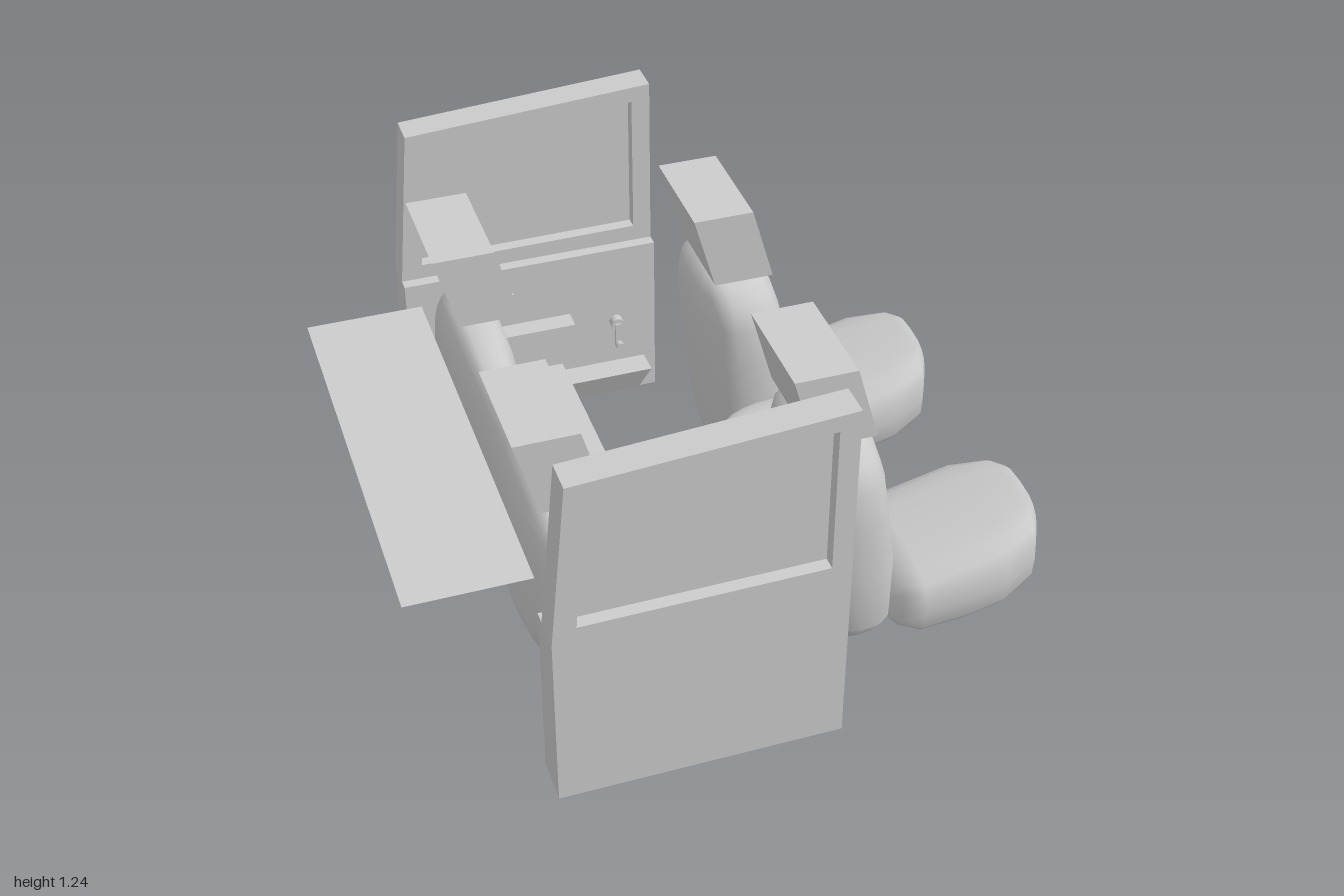
import * as THREE from 'three';

const material = new THREE.MeshStandardMaterial({ color: 0xcccccc, side: THREE.DoubleSide });

function add(parent, name, geometry, x = 0, y = 0, z = 0) {
  const mesh = new THREE.Mesh(geometry, material);
  mesh.name = name;
  mesh.position.set(x, y, z);
  parent.add(mesh);
  return mesh;
}

function shapeOf(points) {
  return new THREE.Shape(points.map(([x, y]) => new THREE.Vector2(x, y)));
}

// Outline in x and y, extruded between two z values
function slab(points, zA, zB, hole) {
  const shape = shapeOf(points);
  if (hole) shape.holes.push(new THREE.Path(shapeOf(hole).getPoints()));
  const g = new THREE.ExtrudeGeometry(shape, { depth: Math.abs(zB - zA), bevelEnabled: false });
  return g.translate(0, 0, Math.min(zA, zB));
}

// Superellipse sections [w, u0, u1, v0, v1] joined along an axis;
// lowPower shapes the u width of the lower half of each section
function loft(axis, sections, power = 0.65, lowPower = power, n = 20) {
  const order = { x: [2, 0, 1], y: [1, 2, 0], z: [0, 1, 2] }[axis];
  const positions = [], index = [];
  const put = (u, v, w) => {
    const uvw = [u, v, w];
    positions.push(uvw[order[0]], uvw[order[1]], uvw[order[2]]);
  };
  const bend = (t, p) => Math.sign(t) * Math.pow(Math.abs(t), p);
  for (const [w, u0, u1, v0, v1] of sections) {
    for (let i = 0; i < n; i++) {
      const a = (i / n) * Math.PI * 2, c = Math.cos(a), s = Math.sin(a);
      put((u0 + u1) / 2 + (u1 - u0) / 2 * bend(c, s < -1e-6 ? lowPower : power),
        (v0 + v1) / 2 + (v1 - v0) / 2 * bend(s, power), w);
    }
  }
  const last = sections.length - 1, start = sections.length * n;
  for (const k of [0, last]) {
    const [w, u0, u1, v0, v1] = sections[k];
    put((u0 + u1) / 2, (v0 + v1) / 2, w);
  }
  for (let i = 0; i < n; i++) {
    const j = (i + 1) % n;
    for (let r = 0; r < last; r++) {
      const a = r * n + i, b = r * n + j;
      index.push(a, b, a + n, b, b + n, a + n);
    }
    index.push(start, j, i, start + 1, last * n + i, last * n + j);
  }
  const g = new THREE.BufferGeometry();
  g.setAttribute('position', new THREE.Float32BufferAttribute(positions, 3));
  g.setIndex(index);
  g.computeVertexNormals();
  return g;
}

// Slanted block headrest with two posts
function headrest(parent, name, x, z) {
  const group = new THREE.Group();
  group.name = name;
  group.position.set(x, 0, z);
  add(group, 'headrestPad', slab([[0.07, 0.83], [0.26, 0.83], [0.19, 1.075], [0, 1.075]], -0.175, 0.175));
  for (const s of [-1, 1]) {
    add(group, 'headrestPost', new THREE.CylinderGeometry(0.011, 0.011, 0.08, 8), 0.17, 0.81, s * 0.09);
    add(group, 'postCollar', new THREE.CylinderGeometry(0.028, 0.028, 0.012, 10), 0.17, 0.812, s * 0.09);
  }
  parent.add(group);
}

function frontSeat(z) {
  const seat = new THREE.Group();
  seat.name = 'frontSeat';
  seat.position.z = z;
  // y, back x, front x, half width
  const back = [
    [0.065, 0.3, 0.44, 0.13], [0.085, 0.265, 0.475, 0.2], [0.15, 0.245, 0.505, 0.245],
    [0.35, 0.215, 0.505, 0.254], [0.55, 0.195, 0.475, 0.254], [0.68, 0.19, 0.455, 0.25],
    [0.76, 0.195, 0.43, 0.215], [0.8, 0.22, 0.4, 0.155], [0.81, 0.26, 0.36, 0.08],
  ];
  add(seat, 'seatBackrest', loft('y', back.map(([y, a, b, h]) => [y, -h, h, a, b]), 0.7));
  // x, bottom y, top y, half width
  const cushion = [
    [0.49, 0.06, 0.2, 0.15], [0.515, 0.04, 0.265, 0.215], [0.575, 0.025, 0.28, 0.25],
    [0.72, 0.035, 0.315, 0.253], [0.84, 0.06, 0.345, 0.25], [0.95, 0.09, 0.37, 0.2],
    [0.98, 0.1, 0.375, 0.14], [1, 0.12, 0.29, 0.06],
  ];
  add(seat, 'seatCushion', loft('x', cushion.map(([x, a, b, h]) => [x, a, b, -h, h])));
  headrest(seat, 'frontHeadrest', 0.145, 0);
  return seat;
}

function rearBench() {
  const bench = new THREE.Group();
  bench.name = 'rearBench';
  add(bench, 'rearCushion', new THREE.BoxGeometry(0.25, 0.3, 1.32), -0.305, 0.19, -0.005);
  // distance from the middle, half depth, bottom y, top y
  const half = [
    [0, 0.085, 0, 0.74], [0.17, 0.092, 0.035, 0.755], [0.3, 0.105, 0.07, 0.785],
    [0.48, 0.108, 0.14, 0.79], [0.6, 0.095, 0.24, 0.77], [0.66, 0.025, 0.31, 0.68],
  ];
  const section = (s) => ([d, h, a, b]) => [s * d, -0.52 - h, -0.52 + h, a, b];
  const rows = [...half.slice(1).reverse().map(section(-1)), ...half.map(section(1))];
  add(bench, 'rearBackrest', loft('z', rows, 0.65, 1.6, 32));
  for (const z of [-0.475, 0.435]) headrest(bench, 'rearHeadrest', -0.66, z);
  return bench;
}

function door(s) {
  const group = new THREE.Group();
  group.name = s > 0 ? 'frontSideDoor' : 'rearSideDoor';
  group.position.z = -0.003;
  add(group, 'doorPanel', slab([[-0.66, 0.07], [0.19, 0.07], [0.19, 0.655], [-0.66, 0.655]], s * 0.807, s * 0.945));
  const glass = [[-0.59, 0.705], [0.13, 0.71], [0.13, 1.18], [-0.56, 1.14]];
  add(group, 'windowFrame', slab([[-0.66, 0.655], [0.19, 0.655], [0.19, 1.235], [-0.61, 1.185]],
    s * 0.845, s * 0.945, glass));
  add(group, 'windowPane', slab(glass, s * 0.885, s * 0.905));
  add(group, 'doorArmrest', new THREE.BoxGeometry(0.46, 0.06, 0.07), -0.34, 0.4, s * 0.775);
  add(group, 'doorLatch', new THREE.BoxGeometry(0.09, 0.05, 0.012), -0.345, 0.53, s * 0.805);
  // Pocket tapering towards its base
  const pocket = new THREE.BoxGeometry(0.43, 0.1, 0.09);
  const p = pocket.attributes.position;
  for (let i = 0; i < p.count; i++) {
    if (p.getY(i) > 0) continue;
    p.setX(i, p.getX(i) * 0.85);
    if (p.getZ(i) * s < 0) p.setZ(i, 0);
  }
  pocket.computeVertexNormals();
  add(group, 'doorPocket', pocket, -0.065, 0.15, s * 0.765);
  // Window crank
  const hub = add(group, 'crankHub', new THREE.CylinderGeometry(0.022, 0.022, 0.03, 12), 0.05, 0.37, s * 0.79);
  hub.rotation.x = Math.PI / 2;
  add(group, 'crankArm', new THREE.BoxGeometry(0.02, 0.09, 0.012), 0.05, 0.33, s * 0.775);
  const knob = add(group, 'crankKnob', new THREE.CylinderGeometry(0.013, 0.013, 0.03, 10), 0.05, 0.295, s * 0.765);
  knob.rotation.x = Math.PI / 2;
  return group;
}

// Eight-sided pedestal, wider at its foot, under an oval pad
function centreConsole() {
  const group = new THREE.Group();
  group.name = 'centreConsole';
  group.position.set(0.37, 0, -0.013);
  const pedestal = new THREE.CylinderGeometry(0.105, 0.112, 0.31, 8);
  pedestal.rotateY(Math.PI / 8).scale(1.6, 1, 1);
  add(group, 'consolePedestal', pedestal, 0.035, 0.255, 0);
  const pad = new THREE.SphereGeometry(1, 24, 12);
  pad.scale(0.22, 0.037, 0.14);
  add(group, 'consoleArmrest', pad, 0, 0.427, 0);
  return group;
}

export function createModel() {
  const model = new THREE.Group();
  model.name = 'cabinInterior';
  for (const z of [-0.44, 0.41]) model.add(frontSeat(z));
  model.add(rearBench(), centreConsole());
  for (const s of [1, -1]) model.add(door(s));
  // Thin shelf behind the bench
  const shelf = new THREE.PlaneGeometry(0.37, 1.36).rotateX(-Math.PI / 2);
  add(model, 'parcelShelf', shelf, -0.815, 0.65, -0.018);
  return model;
}
